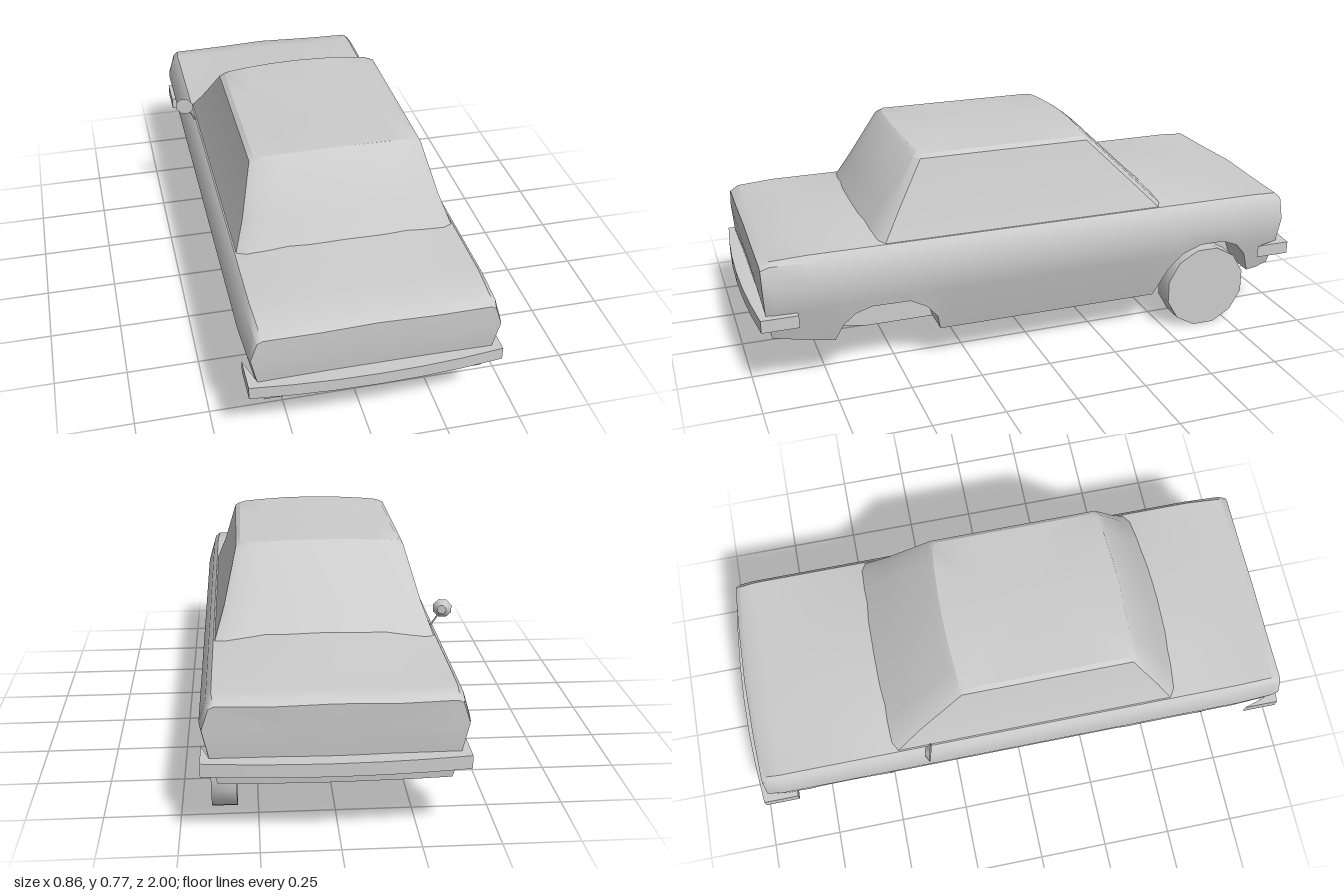
import * as THREE from 'three';
import { toCreasedNormals } from 'three/addons/utils/BufferGeometryUtils.js';

const CX = 0.013; // the shell sits slightly to one side because of the door mirror
const mat = new THREE.MeshStandardMaterial({ color: 0xcccccc });

function part(name, geometry, x = 0, y = 0, z = 0) {
  const mesh = new THREE.Mesh(geometry, mat);
  mesh.name = name;
  mesh.position.set(x, y, z);
  return mesh;
}

// Skin between closed rings with equal point counts
function loft(rings, crease) {
  const n = rings[0].length, idx = [];
  for (let i = 0; i < rings.length - 1; i++) {
    for (let j = 0; j < n; j++) {
      const a = i * n + j, b = i * n + (j + 1) % n;
      idx.push(a, b, b + n, a, b + n, a + n);
    }
  }
  const g = new THREE.BufferGeometry();
  g.setAttribute('position', new THREE.Float32BufferAttribute(rings.flat(2), 3));
  g.setIndex(idx);
  return toCreasedNormals(g, crease);
}

// Piecewise linear lookup in [[x, y], ...]
function lerpTable(t, x) {
  if (x <= t[0][0]) return t[0][1];
  for (let i = 1; i < t.length; i++) {
    if (x <= t[i][0]) {
      const [x0, y0] = t[i - 1], [x1, y1] = t[i];
      return y0 + (y1 - y0) * (x - x0) / (x1 - x0);
    }
  }
  return t[t.length - 1][1];
}

// Close a half ring by mirroring across x = 0
const mirrorRing = half =>
  half.concat(half.slice(1, -1).reverse().map(([x, y, z]) => [-x, y, z]));

const bottom = [[-0.95, 0.2], [-0.84, 0.18], [-0.46, 0.13], [0.6, 0.13], [0.96, 0.2]];
const top = [[-0.945, 0.472], [-0.925, 0.487], [-0.45, 0.52], [0.57, 0.515], [0.93, 0.485], [0.96, 0.468]];
const side = [[0.13, 0.345], [0.22, 0.377], [0.39, 0.415]];
const arches = [
  [[-0.84, 0.18], [-0.81, 0.26], [-0.77, 0.305], [-0.71, 0.33], [-0.62, 0.33],
    [-0.55, 0.3], [-0.5, 0.24], [-0.46, 0.13]],
  [[0.355, 0.13], [0.37, 0.19], [0.41, 0.24], [0.47, 0.275], [0.6, 0.277],
    [0.66, 0.257], [0.7, 0.215], [0.725, 0.155]],
];

// Body cross-section with the wheel well cut into its lower side
function bodySection(z) {
  const b = lerpTable(bottom, z), t = lerpTable(top, z);
  const arch = arches.find(a => z > a[0][0] && z < a[a.length - 1][0]);
  const a = arch ? Math.max(b, lerpTable(arch, z)) : b;
  const low = Math.max(a, 0.3);
  const sx = y => lerpTable(side, y);
  const s = 1 - 0.03 * Math.max(0, (Math.abs(z) - 0.9) / 0.06);
  const half = [
    [0, b], [0.24, b], [0.24, a], [sx(a), a], [sx(low), low], [0.415, 0.39],
    [0.392, Math.min(0.467, t - 0.014)], [0.375, Math.min(0.487, t - 0.005)],
    [0.2, t - 0.006], [0, t],
  ];
  const end = Math.abs(z) > 0.92 ? Math.sign(z) : 0;
  return mirrorRing(half.map(([x, y]) => {
    const bow = z < 0 ? 0.015 * (1 - (x / 0.415) ** 2) : 0;
    const tuck = 0.025 * Math.max(0, (0.33 - y) / 0.13);
    return [x * s, y, z + end * (bow - tuck)];
  }));
}

function body() {
  const zs = [-0.945, -0.925, -0.88, -0.3, 0, 0.3, 0.57, 0.8, 0.93, 0.96,
    ...arches.flat().map(p => p[0])].sort((p, q) => p - q);
  const rings = zs.map(bodySection);
  const cap = z => rings[0].map(() => [0, 0.36, z]);
  return loft([cap(-0.955), ...rings, cap(0.96)], 0.6);
}

// Horizontal slice of the cabin, bowed at both ends
function cabinRing(y, hw, rear, front, bow, crown = 0) {
  const us = [0, 0.35, 0.7, 0.92, 1], half = [];
  const add = (u, z) => half.push([u * hw, y + crown * (1 - u * u), z]);
  for (const u of us) add(u, rear - bow * u ** 2 - (u === 1 ? 0.015 : 0));
  for (const v of [0.25, 0.5, 0.75]) add(1, rear - bow + (front - rear + 2 * bow) * v);
  for (const u of [...us].reverse()) add(u, front + bow * u ** 2 + (u === 1 ? 0.015 : 0));
  return mirrorRing(half);
}

function cabin() {
  const rings = [
    cabinRing(0.46, 0.38, 0.62, -0.54, 0.045),
    cabinRing(0.58, 0.337, 0.54, -0.412, 0.035),
    cabinRing(0.742, 0.293, 0.432, -0.235, 0.02, 0.01),
    cabinRing(0.754, 0.277, 0.412, -0.215, 0.015, 0.012),
    cabinRing(0.758, 0.2, 0.3, -0.12, 0.01, 0.01),
  ];
  rings.push(rings[0].map(() => [0, 0.769, 0.09]));
  return loft(rings, 0.55);
}

// Bumper: thin bowed bar that wraps around the corners
function bumper() {
  const s = new THREE.Shape();
  s.moveTo(-0.413, 0.85);
  s.lineTo(-0.413, 0.975);
  s.quadraticCurveTo(0, 1.025, 0.413, 0.975);
  s.lineTo(0.413, 0.85);
  s.lineTo(0.385, 0.85);
  s.lineTo(0.385, 0.94);
  s.lineTo(-0.385, 0.94);
  const g = new THREE.ExtrudeGeometry(s, { depth: 0.044, bevelEnabled: false, curveSegments: 6 });
  return g.rotateX(Math.PI / 2); // outline to the ground plane, thickness downwards
}

export function createModel() {
  const car = new THREE.Group();
  car.name = 'car';
  car.add(part('body', body(), CX), part('cabin', cabin(), CX));

  const rearBumper = part('rearBumper', bumper(), CX, 0.295);
  const frontBumper = part('frontBumper', bumper(), CX, 0.295);
  frontBumper.rotation.y = Math.PI;
  car.add(rearBumper, frontBumper);

  // Single twelve-sided wheel
  const wheel = new THREE.CylinderGeometry(0.155, 0.155, 0.082, 12);
  wheel.rotateY(Math.PI / 12).rotateZ(Math.PI / 2);
  car.add(part('wheel', toCreasedNormals(wheel, 0.6), 0.359, 0.15, -0.655));

  // Door mirror on a short stalk
  const mirror = new THREE.Group();
  mirror.name = 'doorMirror';
  const head = new THREE.CylinderGeometry(0.034, 0.016, 0.018, 8);
  head.rotateY(Math.PI / 8).rotateX(Math.PI / 2).rotateY(-0.25);
  const stalk = new THREE.TubeGeometry(new THREE.LineCurve3(
    new THREE.Vector3(-0.36, 0.48, -0.34), new THREE.Vector3(-0.395, 0.54, -0.352)), 1, 0.003, 5);
  mirror.add(part('mirrorHead', head, -0.4, 0.547, -0.35), part('mirrorStalk', stalk));
  car.add(mirror);
  return car;
}
